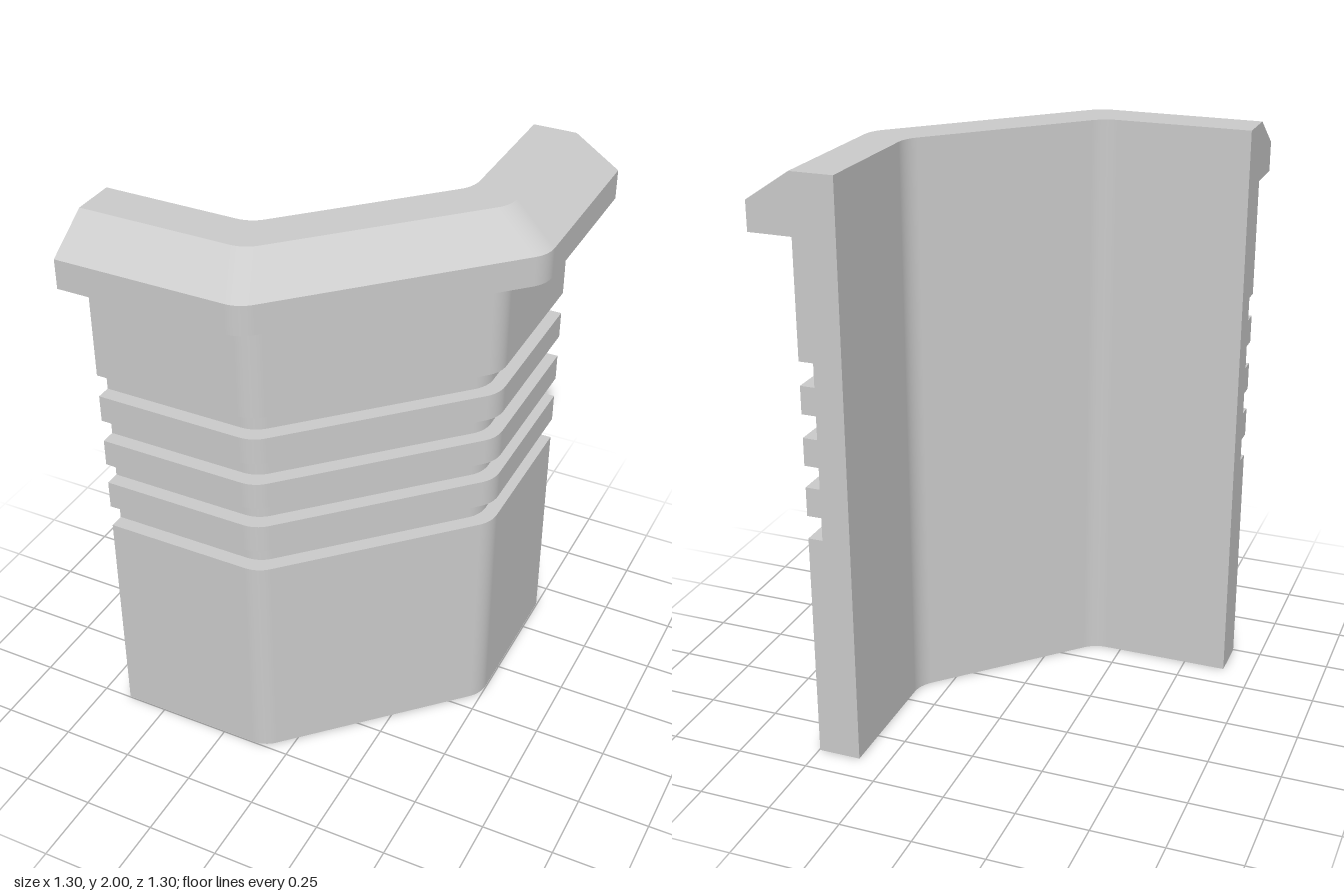
import * as THREE from 'three';

const END = 0.648;    // reach of both wings along -x and -z
const INNER = 0.35;   // distance of the inner face from the axes
const TAN = Math.tan(Math.PI / 8);
const FILLET = 0.045; // tangent length of the rounded bends
const RADIUS = FILLET / TAN;
const STEPS = 8;

// Closed section, counter-clockwise: [thickness outward from the inner face, height]
function wallSection() {
  const face = 0.147, groove = 0.097, rim = 0.297;
  const section = [[0, 0], [face, 0]];
  for (const [low, high] of [[0.8, 0.88], [0.98, 1.055], [1.15, 1.23], [1.325, 1.405]]) {
    section.push([face, low], [groove, low], [groove, high], [face, high]);
  }
  section.push([face, 1.8], [rim, 1.8], [rim, 1.9], [face, 2], [0, 2]);
  return section;
}

// Stations along the plan: wing end, two rounded 45 degree bends, other wing end
function planStations() {
  const bend = (angle) => ({
    normal: [Math.sin(angle), Math.cos(angle)],
    at: (d) => [
      -0.15 + d * TAN - FILLET + RADIUS * Math.sin(angle),
      INNER + d - RADIUS + RADIUS * Math.cos(angle),
    ],
  });
  const half = [{ normal: [0, 1], at: (d) => [-END, INNER + d] }];
  for (let i = 0; i <= STEPS; i++) half.push(bend((i / STEPS) * Math.PI / 4));
  // The second half mirrors the first by swapping x and z
  const mirrored = half.map((s) => ({
    normal: [s.normal[1], s.normal[0]],
    at: (d) => [s.at(d)[1], s.at(d)[0]],
  })).reverse();
  return [...half, ...mirrored];
}

// Sweep a section along the stations: smooth round the bends, crisp on section edges
function sweep(section, stations) {
  const positions = [], normals = [], indices = [];
  const addVertex = (station, [d, y], normal) => {
    const [x, z] = station.at(d);
    positions.push(x, y, z);
    normals.push(...normal);
  };

  section.forEach((a, k) => {
    const b = section[(k + 1) % section.length];
    const dd = b[0] - a[0], dy = b[1] - a[1], length = Math.hypot(dd, dy);
    const out = dy / length, up = -dd / length;
    const base = positions.length / 3;
    stations.forEach((s, i) => {
      const normal = [s.normal[0] * out, up, s.normal[1] * out];
      addVertex(s, a, normal);
      addVertex(s, b, normal);
      if (i < stations.length - 1) {
        const v = base + i * 2;
        indices.push(v, v + 2, v + 1, v + 1, v + 2, v + 3);
      }
    });
  });

  // Flat end faces
  const contour = section.map(([d, y]) => new THREE.Vector2(d, y));
  const triangles = THREE.ShapeUtils.triangulateShape(contour, []);
  const addEnd = (station, normal, flip) => {
    const base = positions.length / 3;
    section.forEach((p) => addVertex(station, p, normal));
    for (const [a, b, c] of triangles) {
      indices.push(base + a, base + (flip ? c : b), base + (flip ? b : c));
    }
  };
  addEnd(stations[0], [-1, 0, 0], false);
  addEnd(stations[stations.length - 1], [0, 0, -1], true);

  const geometry = new THREE.BufferGeometry();
  geometry.setAttribute('position', new THREE.Float32BufferAttribute(positions, 3));
  geometry.setAttribute('normal', new THREE.Float32BufferAttribute(normals, 3));
  geometry.setIndex(indices);
  return geometry;
}

export function createModel() {
  const group = new THREE.Group();
  group.name = 'cornerWall';
  // Angled wall with four grooves and a bevelled rim in one continuous sweep
  const wall = new THREE.Mesh(
    sweep(wallSection(), planStations()),
    new THREE.MeshStandardMaterial({ color: 0xcccccc }),
  );
  wall.name = 'groovedWallWithRim';
  group.add(wall);
  return group;
}
